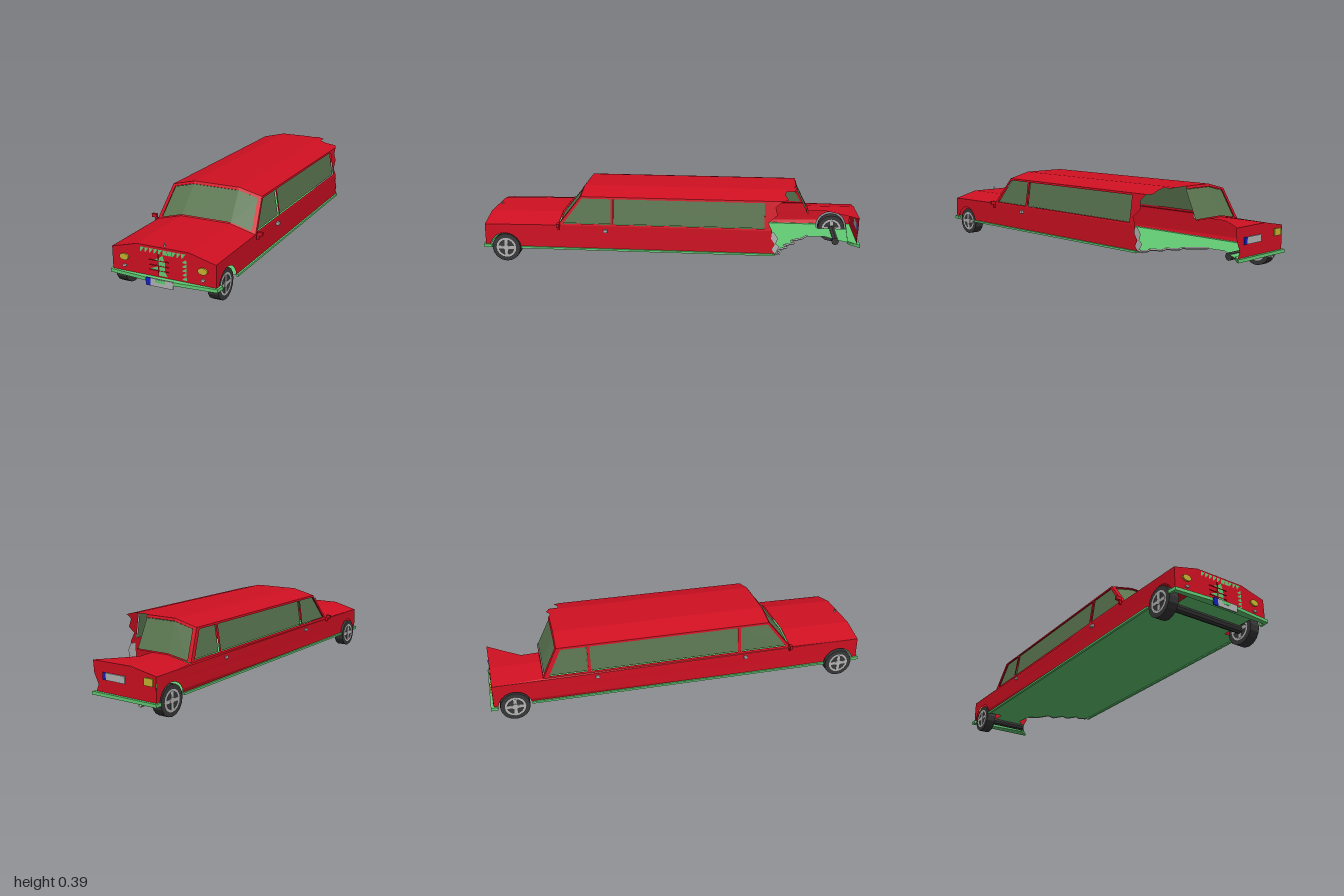
import * as THREE from 'three';

const mat = (color) => new THREE.MeshStandardMaterial({ color, side: THREE.DoubleSide, flatShading: true });
const RED = mat(0xd01022), GLASS = mat(0x5a7550), GREEN = mat(0x62cc74), GREY = mat(0xb4b4b4),
  DARK = mat(0x383838), YELLOW = mat(0xc8b432), BLUE = mat(0x1020c8);

export function createModel() {
  const car = new THREE.Group();
  car.name = 'brokenLimousine';
  const add = (name, geo, m, x = 0, y = 0, z = 0, parent = car) => {
    const mesh = new THREE.Mesh(geo, m);
    mesh.name = name;
    mesh.position.set(x, y, z);
    parent.add(mesh);
    return mesh;
  };
  const box = (name, m, w, h, d, x, y, z, parent) => add(name, new THREE.BoxGeometry(w, h, d), m, x, y, z, parent);
  const v2 = (pts) => pts.map(([a, b]) => new THREE.Vector2(a, b));
  // Flat outline with holes, folded into space by a mapping rule
  const sheet = (name, m, pts, map, holes = []) => {
    const shape = new THREE.Shape(v2(pts));
    shape.holes = holes.map((h) => new THREE.Path(v2(h)));
    const geo = new THREE.ShapeGeometry(shape), p = geo.attributes.position;
    for (let i = 0; i < p.count; i++) p.setXYZ(i, ...map(p.getX(i), p.getY(i)));
    geo.computeVertexNormals();
    return add(name, geo, m);
  };
  // Height of the three-facet crown: flat in the middle, sloping to the edges
  const crown = (x, half, mid, edge) => {
    const a = Math.abs(x) / half;
    return a < 0.5 ? mid : mid + (edge - mid) * (a - 0.5) * 2;
  };
  const quad = (a, b, c, d) => [[a, c], [b, c], [b, d], [a, d]];

  // Lower sides with wheel arches; the left one ends at the torn corner
  const arch = (zc) => Array.from({ length: 11 }, (_, i) => {
    const a = 0.12 + (Math.PI - 0.24) * i / 10;
    return [zc + 0.084 * Math.cos(a), 0.075 + 0.084 * Math.sin(a)];
  });
  const torn = [[-0.55, 0.085], [-0.53, 0.11], [-0.545, 0.14], [-0.525, 0.17], [-0.53, 0.21]];
  const whole = [...arch(-0.88), [-0.985, 0.085], [-0.985, 0.205], [-0.73, 0.21]];
  for (const s of [-1, 1]) {
    sheet(s > 0 ? 'leftSide' : 'rightSide', RED,
      [[0.965, 0.205], [0.965, 0.085], ...arch(0.86), ...(s > 0 ? torn : whole), [0.575, 0.21]],
      (z, y) => [s * (0.267 + (z < -0.8 ? 0.008 : 0)), y, z]);
  }
  sheet('tornSideMetal', GREY, [[-0.5, 0.085], [-0.575, 0.08], [-0.555, 0.1], [-0.57, 0.125], [-0.55, 0.14],
    [-0.56, 0.17], [-0.54, 0.2], [-0.5, 0.2]], (z, y) => [0.26, y, z]);

  // Window frames and side glass
  const frontPane = [[0.548, 0.22], [0.448, 0.35], [0.3, 0.35], [0.3, 0.22]];
  for (const s of [-1, 1]) {
    const name = s > 0 ? 'left' : 'right';
    const map = (inset) => (z, y) => [s * (0.267 - (y - 0.21) * 0.15 - inset), y, z];
    const panes = [frontPane, quad(-0.49, 0.285, 0.22, 0.35)];
    let rear = [[-0.655, 0.36], [-0.73, 0.21]];
    if (s > 0) rear = [[-0.58, 0.36], [-0.545, 0.33], [-0.555, 0.29], [-0.51, 0.25], [-0.53, 0.21]];
    else panes.push([[-0.505, 0.22], [-0.505, 0.35], [-0.635, 0.35], [-0.7, 0.22]]);
    sheet(name + 'WindowFrame', RED, [[0.575, 0.21], [0.455, 0.36], ...rear], map(0), panes);
    panes.forEach((p) => sheet(name + 'Window', GLASS, p, map(0.006)));
  }

  // Roof in three strips, jagged at the broken corner
  const roofMap = (x, z) => [x, crown(x, 0.2445, 0.39, 0.36), z];
  sheet('roofRight', RED, quad(-0.2445, -0.12225, -0.655, 0.455), roofMap);
  sheet('roofMiddle', RED, [[-0.12225, 0.455], [0.12225, 0.455], [0.12225, -0.65], [0.1, -0.665], [0.07, -0.645],
    [0.05, -0.655], [-0.12225, -0.655]], roofMap);
  sheet('roofLeft', RED, [[0.12225, 0.455], [0.2445, 0.455], [0.2445, -0.58], [0.232, -0.61], [0.18, -0.595],
    [0.145, -0.6], [0.14, -0.65], [0.12225, -0.65]], roofMap);

  // Front and rear screens: u runs across, t runs from base to roof
  const screen = (z0, z1, mid, edge, inset) => (u, t) => {
    const low = crown(u, 1, mid, edge), high = crown(u, 1, 0.39, 0.36);
    return [u * (0.267 - 0.0225 * t), low + (high - low) * t - inset, z0 + (z1 - z0) * t - Math.sign(z0) * inset];
  };
  const buildScreen = (name, z0, z1, mid, uMax, edges) => {
    const outer = screen(z0, z1, mid, 0.21, 0), inner = screen(z0, z1, mid, 0.21, 0.004);
    edges.slice(1).forEach((b, i) => {
      const a = edges[i], g0 = Math.max(a, -0.93), g1 = Math.min(b, 0.93);
      sheet(name + 'Glass', GLASS, quad(g0, g1, 0.03, 0.93), inner);
      sheet(name + 'BottomRail', RED, quad(a, b, 0, 0.04), outer);
      sheet(name + 'TopRail', RED, quad(a, b, 0.92, 1), outer);
    });
    sheet(name + 'Pillar', RED, quad(-1, -0.92, 0, 1), outer);
    if (uMax === 1) sheet(name + 'Pillar', RED, quad(0.92, 1, 0, 1), outer);
  };
  buildScreen('windshield', 0.575, 0.455, 0.245, 1, [-1, -0.5, 0.5, 1]);
  buildScreen('rearScreen', -0.73, -0.655, 0.232, 0.2, [-1, -0.5, 0.2]);

  // Hood and front face
  const hoodMap = (x, z) => [x, crown(x, 0.267, 0.245, 0.21) - (z > 0.9 ? 0.006 : 0), z];
  [[-0.267, -0.1335], [-0.1335, 0.1335], [0.1335, 0.267]].forEach(([a, b]) =>
    sheet('hood', RED, quad(a, b, 0.575, 0.965), hoodMap));
  const flat = (z) => (x, y) => [x, y, z];
  sheet('frontFace', RED, [[-0.267, 0.085], [0.267, 0.085], [0.267, 0.204], [0.1335, 0.239], [-0.1335, 0.239],
    [-0.267, 0.204]], flat(0.965));
  add('hoodOrnament', new THREE.ConeGeometry(0.007, 0.025, 6), GREY, 0, 0.248, 0.945);

  // Broken grille: green gaps with red bars across
  for (let i = 0; i < 10; i++) {
    const x = -0.115 + i * 0.0235;
    sheet('grilleTooth', GREEN, [[x, 0.229], [x + 0.021, 0.229], [x + (i > 4 && i < 7 ? 0.021 : 0.004), 0.207],
      [x, 0.207]], flat(0.968));
  }
  for (let i = 0; i < 5; i++) {
    const y = 0.106 + i * 0.02;
    sheet('grilleSideTooth', GREEN, [[0.121, y], [0.121, y + 0.018], [0.099, y + 0.004], [0.105, y]], flat(0.968));
  }
  sheet('grilleHole', GREEN, [[0, 0.204], [0.012, 0.17], [0.01, 0.13], [0.024, 0.105], [-0.024, 0.105],
    [-0.024, 0.13], [-0.068, 0.131], [-0.022, 0.15], [-0.02, 0.172], [-0.045, 0.18], [-0.02, 0.187]], flat(0.968));
  [0.128, 0.151, 0.175].forEach((y) => box('grilleBar', RED, 0.1, 0.003, 0.004, -0.02, y, 0.968));
  box('grilleBar', RED, 0.003, 0.1, 0.004, -0.022, 0.155, 0.968);

  // Lamps
  const disc = (name, m, rx, ry, x, y, z) => {
    const lamp = add(name, new THREE.CylinderGeometry(1, 1, 0.012, 10).rotateX(Math.PI / 2), m, x, y, z);
    lamp.scale.set(rx, ry, 1);
  };
  for (const s of [-1, 1]) {
    disc('headlight', YELLOW, 0.024, 0.016, s * 0.202, 0.166, 0.967);
    disc('foglight', GREY, 0.01, 0.006, s * 0.202, 0.123, 0.967);
  }

  // Remaining piece of trunk and rear face
  const trunkMap = (x, z) => [x, crown(x, 0.27, 0.232, 0.207), z];
  sheet('trunkLidRight', RED, quad(-0.275, -0.135, -0.985, -0.73), trunkMap);
  sheet('trunkLidMiddle', RED, [[-0.135, -0.73], [-0.04, -0.73], [-0.045, -0.82], [0.02, -0.905], [0.09, -0.99],
    [-0.135, -0.985]], trunkMap);
  sheet('rearFace', RED, [[-0.275, 0.085], [0.075, 0.085], [0.06, 0.12], [0.085, 0.17], [0.09, 0.232],
    [-0.135, 0.232], [-0.275, 0.207]], flat(-0.986));
  box('tailLight', YELLOW, 0.05, 0.035, 0.008, -0.235, 0.177, -0.988);
  box('rearPlate', GREY, 0.11, 0.034, 0.006, -0.045, 0.165, -0.989);
  box('rearPlateBand', BLUE, 0.02, 0.034, 0.006, 0.02, 0.165, -0.989);

  // Front plate
  box('frontPlate', GREY, 0.115, 0.037, 0.006, 0.008, 0.081, 0.992);
  box('frontPlateBand', BLUE, 0.025, 0.037, 0.006, -0.062, 0.081, 0.992);

  // Floor with the bitten rear left corner
  const bite = [[0.267, -0.55], [0.225, -0.58], [0.2, -0.56], [0.16, -0.615], [0.125, -0.6], [0.09, -0.655],
    [0.05, -0.64], [0.01, -0.7], [-0.04, -0.73]];
  sheet('floor', GREEN, [[-0.267, 0.775], [-0.19, 0.775], [-0.19, 0.965], [0.19, 0.965], [0.19, 0.775],
    [0.267, 0.775], ...bite, [-0.05, -0.82], [0.02, -0.905], [0.075, -0.985], [-0.19, -0.985], [-0.19, -0.795],
    [-0.267, -0.795]], (x, z) => [x, 0.085, z]);
  const biteCurve = new THREE.CurvePath();
  bite.slice(1).forEach(([x, z], i) => biteCurve.add(new THREE.LineCurve3(
    new THREE.Vector3(bite[i][0], 0.088, bite[i][1]), new THREE.Vector3(x, 0.088, z))));
  add('tornFloorEdge', new THREE.TubeGeometry(biteCurve, 32, 0.006, 4), GREY);

  // Bumpers and sills
  const bumper = (name, pts, y) => add(name, new THREE.ExtrudeGeometry(new THREE.Shape(v2(pts)),
    { depth: 0.016, bevelEnabled: false }).rotateX(Math.PI / 2), GREEN, 0, y, 0);
  bumper('frontBumper', [[-0.28, 0.93], [-0.265, 0.93], [-0.265, 0.955], [0.265, 0.955], [0.265, 0.93],
    [0.28, 0.93], [0.275, 0.975], [0, 0.997], [-0.275, 0.975]], 0.097);
  bumper('rearBumper', [[-0.285, -0.965], [-0.285, -1], [0.09, -1], [0.07, -0.975], [0.03, -0.94], [-0.27, -0.965]], 0.088);
  box('rightSill', GREEN, 0.012, 0.01, 1.57, -0.272, 0.084, -0.01);
  box('leftSill', GREEN, 0.012, 0.01, 1.32, 0.27, 0.084, 0.115);

  // Wheels, axles and exhaust
  const wheel = (x, z) => {
    const g = new THREE.Group();
    g.name = 'wheel';
    g.position.set(x, 0.075, z);
    car.add(g);
    add('tire', new THREE.CylinderGeometry(0.075, 0.075, 0.052, 16).rotateZ(Math.PI / 2), DARK, 0, 0, 0, g);
    for (const s of [-1, 1]) {
      add('rim', new THREE.RingGeometry(0.043, 0.053, 16).rotateY(Math.PI / 2), GREY, s * 0.0275, 0, 0, g);
      add('hub', new THREE.CylinderGeometry(0.016, 0.016, 0.006, 10).rotateZ(Math.PI / 2), GREY, s * 0.027, 0, 0, g);
      for (let i = 0; i < 2; i++) {
        box('spoke', GREY, 0.003, 0.088, 0.016, s * 0.027, 0, 0, g).rotation.x = i * Math.PI / 2;
      }
    }
  };
  wheel(-0.249, 0.86);
  wheel(0.23, 0.86);
  wheel(-0.249, -0.88);
  const axle = (len, x, z) => add('axle', new THREE.CylinderGeometry(0.02, 0.02, len, 8).rotateZ(Math.PI / 2), DARK, x, 0.073, z);
  axle(0.46, -0.01, 0.86);
  axle(0.24, -0.12, -0.88);
  add('exhaust', new THREE.CylinderGeometry(0.009, 0.009, 0.09, 8, 1, true).rotateX(Math.PI / 2), GREY, -0.19, 0.065, -0.95);

  // Mirrors and door handles
  for (const s of [-1, 1]) {
    const y = s > 0 ? 0.216 : 0.223;
    box('mirror', RED, 0.027, 0.018, 0.014, s * 0.288, y, 0.57);
    box('mirrorArm', RED, 0.012, 0.022, 0.01, s * 0.278, y - 0.017, 0.57);
    box('doorHandle', GREY, 0.014, 0.014, 0.02, s * 0.274, 0.186, 0.325);
  }
  box('rearDoorHandle', GREY, 0.014, 0.014, 0.02, -0.274, 0.186, -0.46);
  return car;
}
